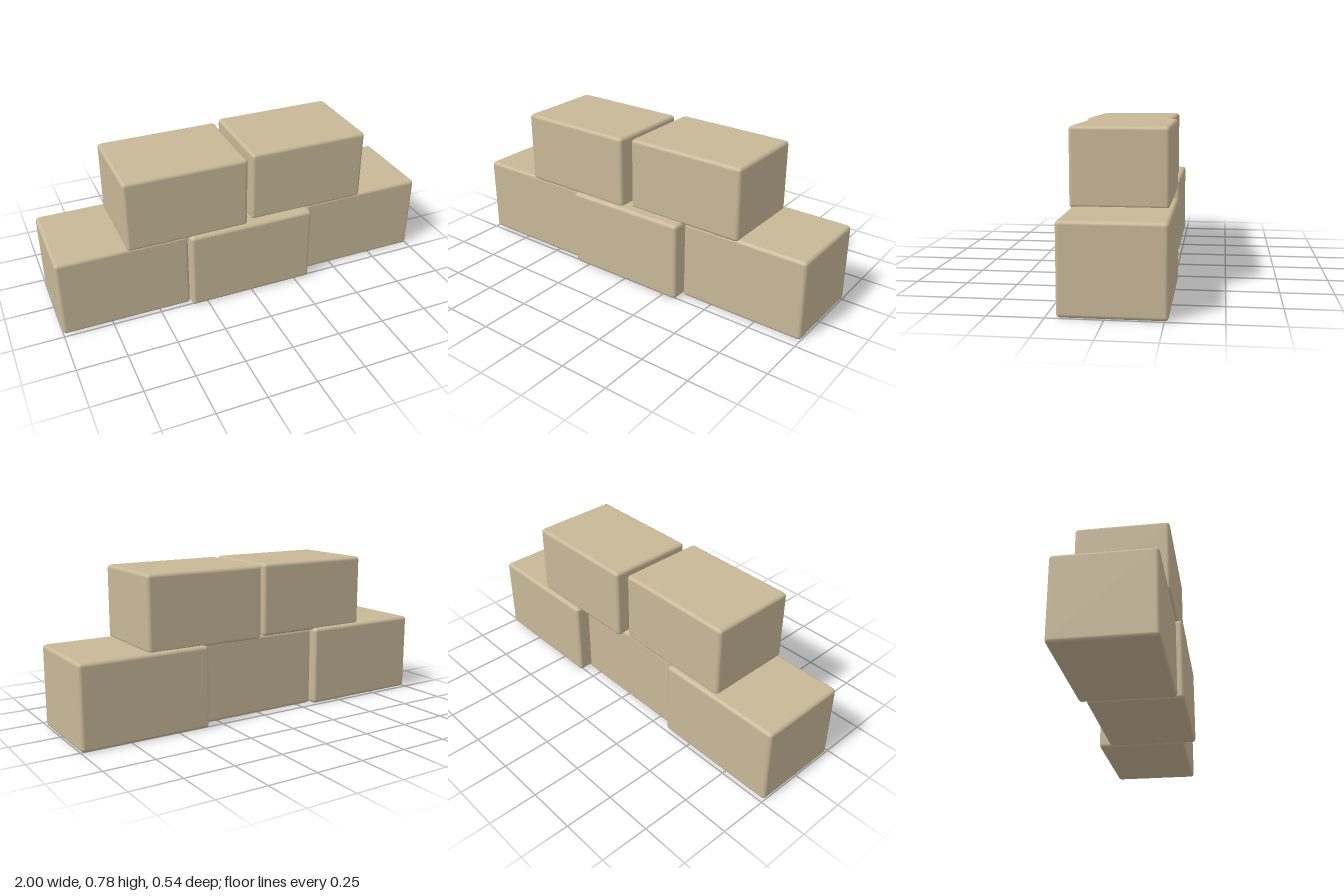
import * as THREE from 'three';
import { RoundedBoxGeometry } from 'three/addons/geometries/RoundedBoxGeometry.js';

export function createModel() {
  const group = new THREE.Group();
  group.name = 'stackedBlocks';
  const stone = new THREE.MeshStandardMaterial({ color: 0xc8b898 });

  // One course of equal blocks with softened edges, each at its own [x, z]
  function addCourse(name, [w, h, d], bottom, centres) {
    const geometry = new RoundedBoxGeometry(w, h, d, 2, 0.018);
    centres.forEach(([x, z], i) => {
      const block = new THREE.Mesh(geometry, stone);
      block.name = `${name}${i + 1}`;
      block.position.set(x, bottom + h / 2, z);
      group.add(block);
    });
  }

  // Three blocks below, two slightly smaller ones above, staggered in depth
  addCourse('lowerBlock', [0.664, 0.413, 0.472], 0, [[-0.668, 0], [0, 0.032], [0.668, -0.032]]);
  addCourse('upperBlock', [0.63, 0.373, 0.458], 0.404, [[-0.335, 0.016], [0.331, -0.016]]);

  return group;
}
